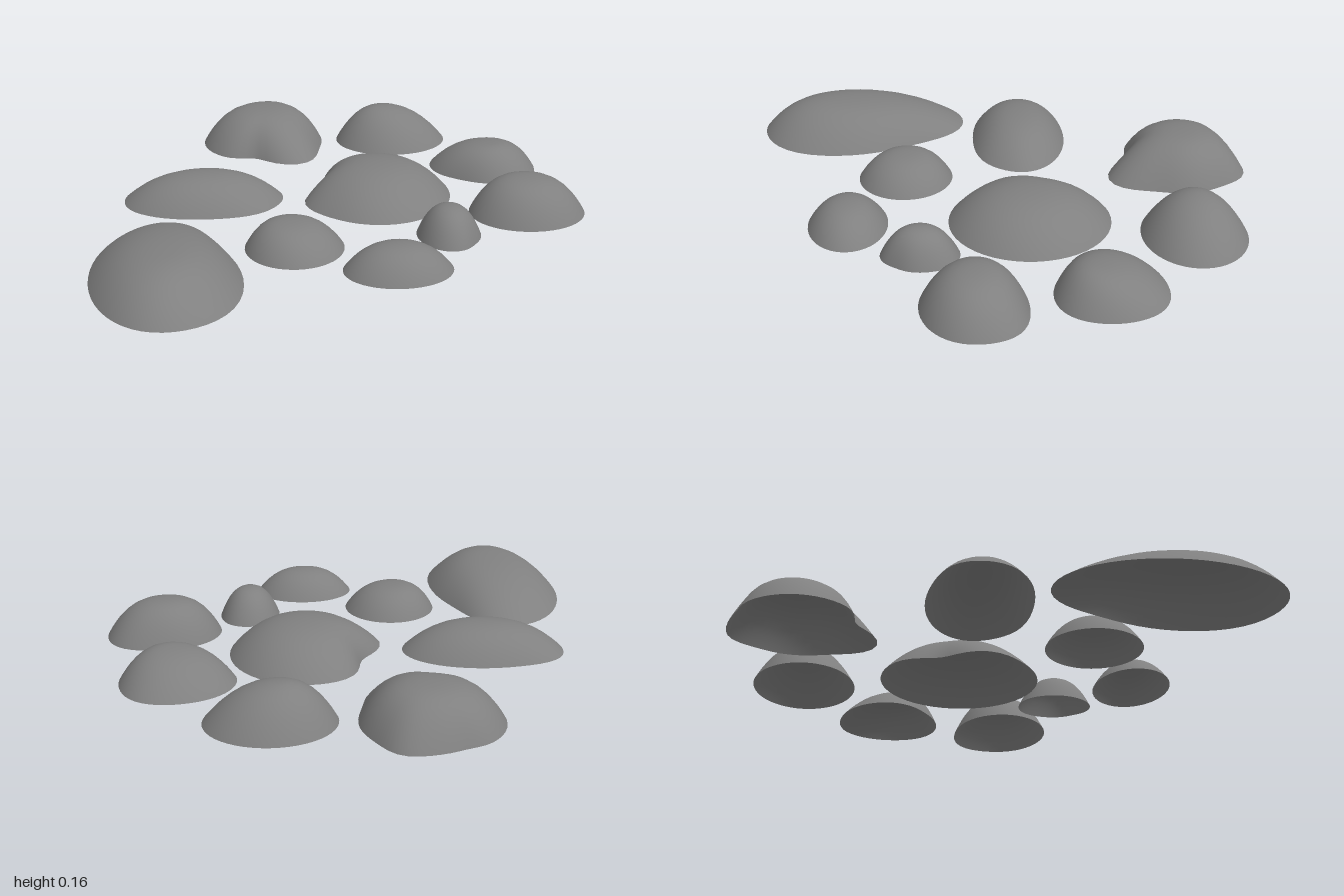
import * as THREE from 'three';

const SEGMENTS = 48, RINGS = 10, BASE = 0.005;
const material = new THREE.MeshStandardMaterial({ color: 0x808080, side: THREE.DoubleSide });

// Ring point: an oval pushed out or in by bumps of [degrees clockwise from the back, amount, width],
// which fade towards the apex (r = 0) so the top stays smooth
function ringPoint(degrees, r, [cx, cz], [rx, rz], apex, bumps) {
  let k = 1;
  for (const [at, amount, width] of bumps) {
    const away = Math.abs(degrees - at);
    k += r * r * amount * Math.exp(-((Math.min(away, 360 - away) / width) ** 2));
  }
  const a = THREE.MathUtils.degToRad(degrees);
  const x = cx + rx * k * Math.sin(a), z = cz - rz * k * Math.cos(a);
  return [apex[0] + (x - apex[0]) * r, apex[1] + (z - apex[1]) * r];
}

// Open-bottomed dome: rings grow from the apex to the outline; power sets how full the shoulders are
function stone(name, center, radii, height, { apex = center, power = 2.7, bumps = [] } = {}) {
  const pos = [apex[0], height, apex[1]];
  const index = [];
  for (let i = 1; i <= RINGS; i++) {
    const r = Math.sin((i / RINGS) * Math.PI / 2);
    const y = BASE + (height - BASE) * (1 - r ** power);
    for (let j = 0; j < SEGMENTS; j++) {
      const [x, z] = ringPoint((j / SEGMENTS) * 360, r, center, radii, apex, bumps);
      pos.push(x, y, z);
      const c = 1 + (i - 1) * SEGMENTS + j;
      const d = 1 + (i - 1) * SEGMENTS + ((j + 1) % SEGMENTS);
      if (i === 1) index.push(0, d, c);
      else index.push(c - SEGMENTS, d - SEGMENTS, c, d - SEGMENTS, d, c);
    }
  }
  const geo = new THREE.BufferGeometry();
  geo.setAttribute('position', new THREE.Float32BufferAttribute(pos, 3));
  geo.setIndex(index);
  geo.computeVertexNormals();
  const mesh = new THREE.Mesh(geo, material);
  mesh.name = name;
  return mesh;
}

export function createModel() {
  const group = new THREE.Group();
  group.name = 'steppingStones';

  // Back row
  group.add(stone('notchedBackStone', [-0.26, -0.74], [0.26, 0.25], 0.16, {
    apex: [-0.24, -0.76], power: 3.2,
    bumps: [[26, 0.13, 20], [153, 0.32, 25], [192, -0.15, 18], [338, -0.05, 15]],
  }));
  group.add(stone('backOvalStone', [0.305, -0.71], [0.24, 0.205], 0.16, { apex: [0.26, -0.72], power: 2.3 }));

  // Left side
  group.add(stone('backLeftStone', [0.645, -0.34], [0.22, 0.205], 0.125, {
    apex: [0.68, -0.28], bumps: [[33, 0.09, 32], [143, 0.09, 32], [218, -0.11, 35]],
  }));
  group.add(stone('leftStone', [0.725, 0.155], [0.227, 0.195], 0.15, {
    apex: [0.71, 0.14], power: 3, bumps: [[42, 0.11, 30]],
  }));

  // Middle
  group.add(stone('centreStone', [0.165, -0.09], [0.295, 0.317], 0.14, { bumps: [[293, -0.21, 23], [252, 0.06, 20]] }));
  group.add(stone('rightStone', [-0.53, -0.095], [0.315, 0.195], 0.12, {
    bumps: [[146, 0.07, 25], [308, 0.08, 25]],
  }));

  // Front
  group.add(stone('largeFrontStone', [-0.68, 0.565], [0.27, 0.43], 0.14, {
    apex: [-0.66, 0.7], bumps: [[55, -0.12, 32], [125, 0.1, 32]],
  }));
  group.add(stone('roundStone', [-0.205, 0.39], [0.185, 0.19], 0.11, { apex: [-0.23, 0.38], power: 3 }));
  group.add(stone('frontOvalStone', [0.15, 0.615], [0.2, 0.155], 0.105));
  group.add(stone('smallStone', [0.383, 0.34], [0.122, 0.15], 0.125, {
    bumps: [[42, 0.06, 30], [132, -0.07, 25]],
  }));
  return group;
}
